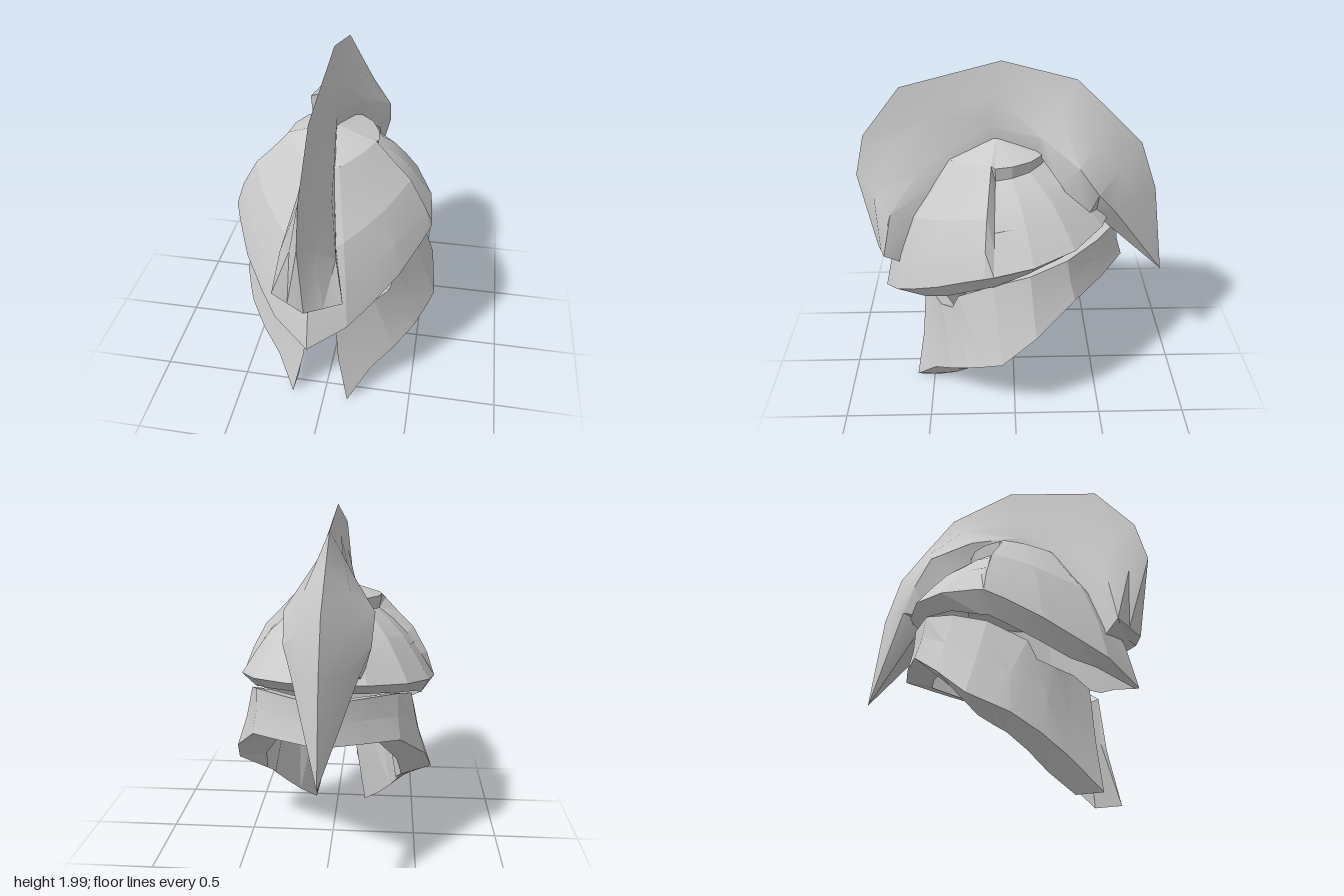
import * as THREE from 'three';
import { toCreasedNormals } from 'three/addons/utils/BufferGeometryUtils.js';

const material = new THREE.MeshStandardMaterial({ color: 0xcccccc, side: THREE.DoubleSide });
const mirror = ([x, y, z]) => [-x, y, z];
const lerp = THREE.MathUtils.lerp;

// Skin a list of equal-length cross-sections
function skin(name, columns, crease) {
  const positions = [];
  const same = (p, q) => p.every((v, i) => Math.abs(v - q[i]) < 1e-6);
  const tri = (a, b, c) => {
    if (!same(a, b) && !same(b, c) && !same(a, c)) positions.push(...a, ...b, ...c);
  };
  for (let i = 0; i < columns.length - 1; i++) {
    for (let j = 0; j < columns[i].length - 1; j++) {
      const a = columns[i][j], b = columns[i][j + 1];
      const d = columns[i + 1][j], c = columns[i + 1][j + 1];
      tri(a, b, c);
      tri(a, c, d);
    }
  }
  const geometry = new THREE.BufferGeometry();
  geometry.setAttribute('position', new THREE.Float32BufferAttribute(positions, 3));
  const mesh = new THREE.Mesh(toCreasedNormals(geometry, crease), material);
  mesh.name = name;
  return mesh;
}

// Add the mirrored half to columns that run from front centre to back centre
const bothSides = (cols) => cols.concat(cols.slice(0, -1).reverse().map((c) => c.map(mirror)));

// A column squeezed to its centre, used as an end cap
function capOf(column) {
  const c = [0, 1, 2].map((k) => column.reduce((s, p) => s + p[k], 0) / column.length);
  return column.map(() => c);
}

// Bowl with pointed visor; the rear half is sunk below the front shell and the cap
function makeBowl() {
  const raised = [[0, 0], [0.42, 0.13], [0.48, 0.19], [0.61, 0.33], [0.77, 0.49], [0.92, 0.76], [1, 1]];
  const sunk = [[0, 0], [0.44, 0.15], [0.42, 0.29], [0.56, 0.4], [0.71, 0.55], [0.86, 0.77], [1, 1]];
  // edge x, y, z, depth of the bevel below the edge, sunk panel or not
  const edge = [
    [0, 0.57, 0.78, 0.0, 0], [0.2, 0.68, 0.68, 0.03, 0], [0.31, 0.76, 0.56, 0.08, 0],
    [0.43, 0.86, 0.41, 0.1, 0], [0.52, 0.96, 0.24, 0.11, 0], [0.565, 1.01, 0.14, 0.11, 0],
    [0.565, 1.02, 0.09, 0.11, 1], [0.535, 1.06, -0.12, 0.08, 1], [0.42, 1.1, -0.34, 0.07, 1],
    [0.21, 1.13, -0.5, 0.07, 1], [0, 1.15, -0.57, 0.07, 1],
  ];
  const columns = edge.map(([x, y, z, drop, isSunk]) => {
    const at = (f, g, top) => [x * f, lerp(top, y, g), lerp(0.09, z, f)];
    const outer = (isSunk ? sunk : raised).map(([f, g]) => at(f, g, 1.58));
    const s = drop ? 0.87 : 0.97;
    const rim = [x * s, y - drop, lerp(0.09, z, s)];
    const inner = [[0.78, 0.55], [0.5, 0.3], [0, 0]].map(([f, g]) => at(f, g, 1.46));
    return [...outer, rim, ...inner];
  });
  return skin('bowl', bothSides(columns), 0.2);
}

// Cheek and neck guard, open at the face with a notch below each eye
function makeGuard() {
  // top point, then bottom point, of the outer face
  const stations = [
    [[0.08, 0.58, 0.53], [0.165, 0.01, 0.6]],
    [[0.16, 0.64, 0.47], [0.28, 0.17, 0.47]],
    [[0.28, 0.65, 0.41], [0.4, 0.27, 0.37]],
    [[0.35, 0.68, 0.34], [0.5, 0.36, 0.25]],
    [[0.38, 0.78, 0.3], [0.54, 0.4, 0.17]],
    [[0.45, 0.9, 0.1], [0.59, 0.46, 0.05]],
    [[0.46, 0.97, -0.1], [0.55, 0.62, -0.14]],
    [[0.39, 1.03, -0.3], [0.41, 0.78, -0.35]],
    [[0.21, 1.05, -0.47], [0.21, 0.81, -0.51]],
    [[0, 1.05, -0.6], [0, 0.83, -0.64]],
  ];
  const columns = stations.map(([t, b], i) => {
    const mid = [0, 1, 2].map((k) => (t[k] + b[k]) / 2 * (k === 1 ? 1 : 0.98));
    if (i === 0) mid[0] *= 0.85;
    const inward = Math.min(1, i / 4); // cheek fronts stay in line
    const inBottom = [b[0] * lerp(1, 0.7, inward), Math.max(0.01, b[1] - 0.06), b[2] * lerp(0.76, 0.72, inward)];
    const inTop = [t[0] * lerp(1, 0.82, inward), t[1] - 0.02, t[2] * 0.84];
    return [t, mid, b, inBottom, inTop, t];
  });
  const all = bothSides(columns);
  return skin('cheekAndNeckGuard', [capOf(all[0]), ...all, capOf(all.at(-1))], 0.2);
}

// Tall ridged crest: narrow over the crown, flared at both ends
function makeCrest() {
  // ridge [y, z], lip [x, y, z], base [x, y, z], pinch of the side
  const stations = [
    [[0.86, 0.81], [0.19, 0.9, 0.74], [0.15, 0.84, 0.66], 0.5],
    [[1.33, 0.89], [0.145, 1.15, 0.69], [0.12, 1.1, 0.57], 0.45],
    [[1.57, 0.83], [0.09, 1.38, 0.53], [0.08, 1.32, 0.42], 0.38],
    [[1.85, 0.61], [0.05, 1.56, 0.27], [0.05, 1.45, 0.25], 0.38],
    [[2.0, 0.06], [0.03, 1.64, 0.13], [0.02, 1.55, 0.1], 0.5],
    [[1.9, -0.34], [0.12, 1.62, -0.15], [0.08, 1.52, -0.13], 0.5],
    [[1.72, -0.53], [0.24, 1.49, -0.36], [0.2, 1.38, -0.26], 0.5],
    [[1.54, -0.71], [0.23, 1.33, -0.47], [0.18, 1.13, -0.4], 0.5],
    [[1.26, -0.81], [0.175, 1.2, -0.57], [0.1, 1.14, -0.47], 0.55],
    [[0.71, -0.89], [0, 0.71, -0.89], [0, 0.71, -0.89], 0.5],
  ];
  const columns = stations.map(([[ry, rz], lip, base, pinch]) => {
    const mid = [lip[0] * pinch, (ry + lip[1]) / 2, (rz + lip[2]) / 2];
    const side = [mid, lip, base];
    const left = side.map(mirror).reverse();
    return [...left, [0, ry, rz], ...side, left[0]];
  });
  return skin('crest', [capOf(columns[0]), ...columns], 0.6);
}

export function createModel() {
  const model = new THREE.Group();
  model.name = 'crestedHelmet';
  // Every part is turned slightly to one side; the upper parts sit a little off centre
  for (const [part, x] of [[makeBowl(), -0.022], [makeGuard(), 0], [makeCrest(), -0.022]]) {
    part.rotation.y = -0.042;
    part.position.x = x;
    model.add(part);
  }
  return model;
}
